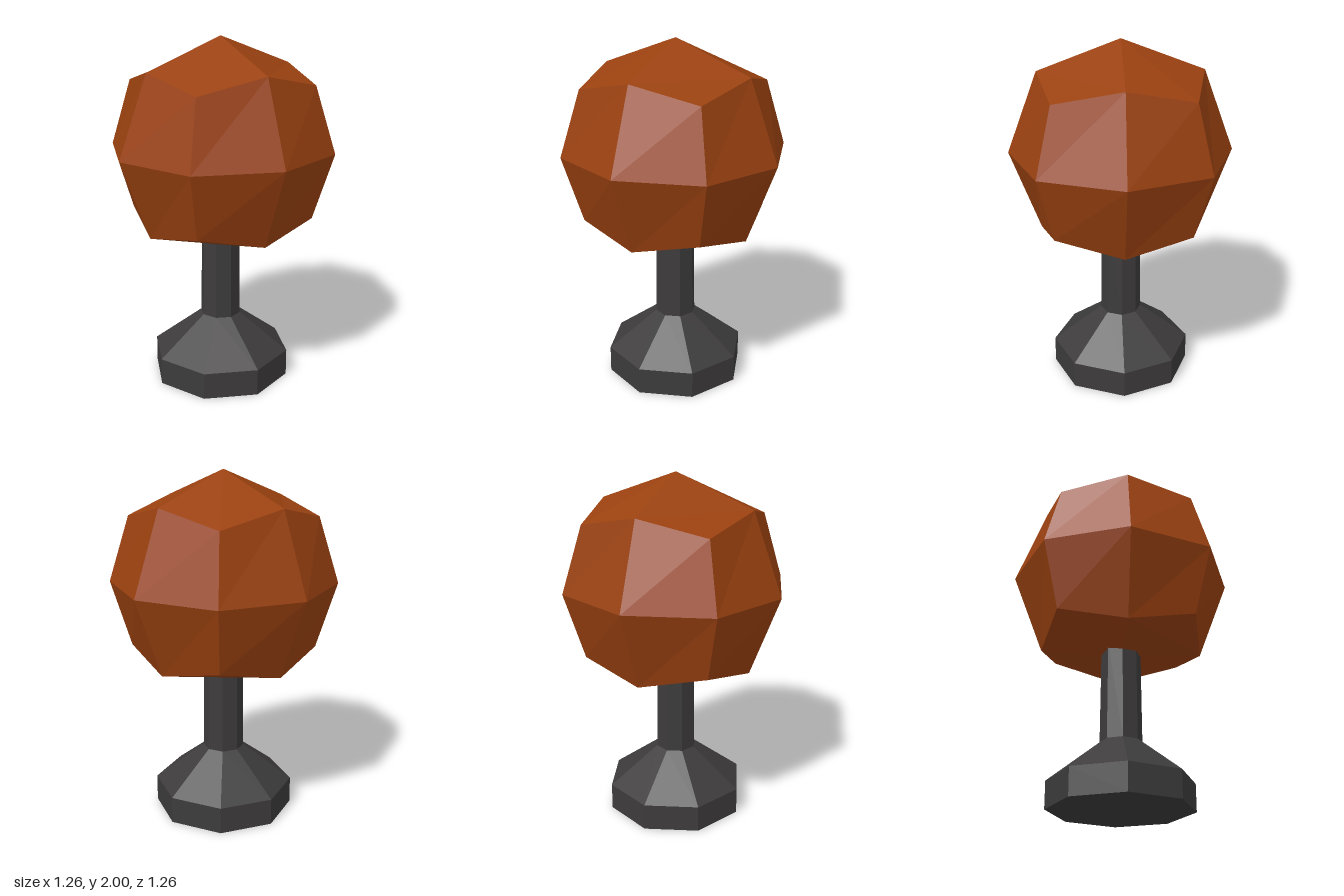
import * as THREE from 'three';

const paint = (color) => new THREE.MeshStandardMaterial({ color, flatShading: true });

// Faceted ball: a 2x2x2 box pushed outward to a sphere, its underside flattened
function ballGeometry() {
  const reach = [0, 0.63, 0.458, 0.375]; // face centre, edge middle, corner
  const geometry = new THREE.BoxGeometry(2, 2, 2, 2, 2, 2);
  const pos = geometry.attributes.position;
  const v = new THREE.Vector3();
  for (let i = 0; i < pos.count; i++) {
    v.fromBufferAttribute(pos, i).round();
    const kind = Math.abs(v.x) + Math.abs(v.y) + Math.abs(v.z);
    const isBottom = kind === 1 && v.y < 0;
    v.multiplyScalar(isBottom ? 0.485 : reach[kind]);
    pos.setXYZ(i, v.x, v.y, v.z);
  }
  geometry.computeVertexNormals();
  return geometry;
}

// Eight-sided turned part from [radius, height] points, bottom to top
function turned(name, points, material) {
  const profile = points.map(([r, y]) => new THREE.Vector2(r, y));
  const mesh = new THREE.Mesh(new THREE.LatheGeometry(profile, 8), material);
  mesh.name = name;
  return mesh;
}

export function createModel() {
  const model = new THREE.Group();
  model.name = 'ballOnStand';
  const dark = paint(0x3d3b3b);

  // Foot with sloped shoulder
  model.add(turned('base', [[0, 0], [0.405, 0], [0.405, 0.155], [0.118, 0.375], [0, 0.375]], dark));

  // Slightly tapered post running up into the ball
  model.add(turned('stem', [[0.118, 0.375], [0.112, 0.95], [0, 0.95]], dark));

  const ball = new THREE.Mesh(ballGeometry(), paint(0x9a4110));
  ball.name = 'ball';
  ball.position.y = 1.37;
  model.add(ball);

  return model;
}
